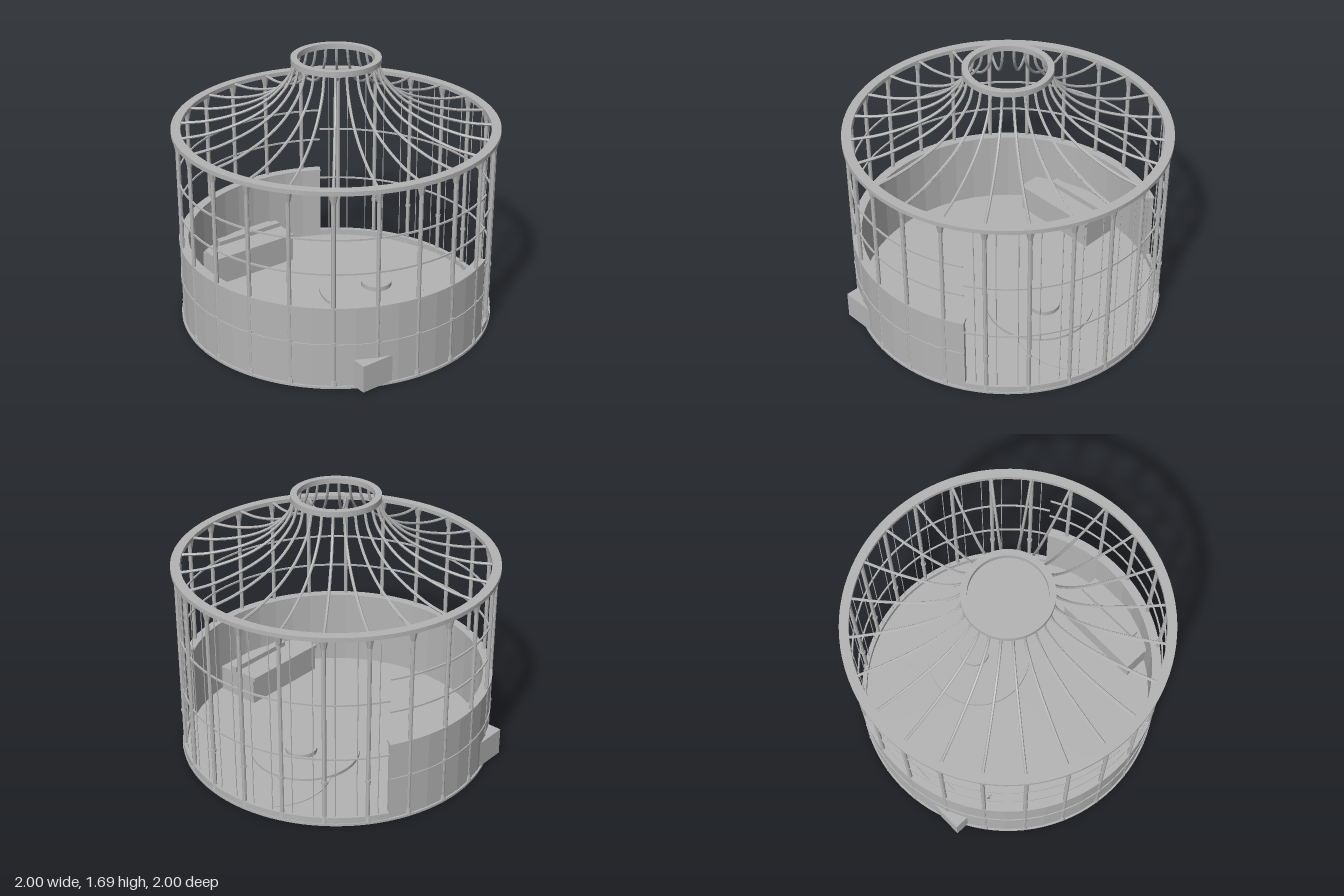
import * as THREE from 'three';

export function createModel() {
  const model = new THREE.Group();
  const grey = new THREE.MeshStandardMaterial({ color: 0xb4b4b4, flatShading: true, side: THREE.DoubleSide });
  const rad = THREE.MathUtils.degToRad;

  function add(name, geometry, x = 0, y = 0, z = 0, parent = model) {
    const mesh = new THREE.Mesh(geometry, grey);
    mesh.name = name;
    mesh.position.set(x, y, z);
    parent.add(mesh);
    return mesh;
  }

  // Ring or part ring of rectangular section; angles run from the front (+z) towards +x
  function band(name, r0, r1, y0, y1, from = 0, sweep = 360, step = 3.75) {
    const profile = [[r0, y0], [r1, y0], [r1, y1], [r0, y1], [r0, y0]].map(p => new THREE.Vector2(...p));
    add(name, new THREE.LatheGeometry(profile, Math.round(sweep / step), rad(from), rad(sweep)));
    if (sweep < 360) {
      for (const a of [from, from + sweep]) {
        const r = (r0 + r1) / 2;
        const cap = add(name + 'End', new THREE.PlaneGeometry(r1 - r0, y1 - y0),
          r * Math.sin(rad(a)), (y0 + y1) / 2, r * Math.cos(rad(a)));
        cap.rotation.y = rad(a - 90);
      }
    }
  }
  const front = (name, ...size) => band(name, ...size, -120, 240);
  const back = (name, ...size) => band(name, ...size, 120, 120);

  // Floor and the round platforms on it
  add('floor', new THREE.CylinderGeometry(0.99, 0.99, 0.015, 96), 0, 0.0075, 0);
  add('rearFloorDisc', new THREE.CylinderGeometry(0.375, 0.375, 0.005, 64), 0, 0.0175, -0.6);
  add('platform', new THREE.CylinderGeometry(0.345, 0.345, 0.02, 64), 0, 0.025, -0.29);
  add('pedestal', new THREE.CylinderGeometry(0.1, 0.1, 0.03, 40), 0, 0.05, -0.33);

  // Solid wall around the front, open kerb at the back
  band('wall', 0.95, 0.98, 0.015, 0.525, -120, 240, 7.5);
  front('wallTopTrim', 0.925, 0.984, 0.52, 0.533);
  front('wallRail', 0.97, 0.985, 0.285, 0.294);
  back('kerb', 0.955, 0.985, 0.015, 0.055);

  // Horizontal wires
  for (const y of [0.745, 0.96]) front('frontWire', 0.963, 0.973, y - 0.005, y + 0.005);
  for (const y of [0.455, 0.82]) back('backWire', 0.963, 0.973, y - 0.005, y + 0.005);

  // Top and crown rings
  band('eavesRing', 0.942, 1, 1.243, 1.27);
  band('crownRing', 0.232, 0.272, 1.655, 1.69);

  // Posts with base, collar and capital, and one curved roof rib above each
  const ribPath = new THREE.CatmullRomCurve3([
    [0.955, 1.255], [0.775, 1.272], [0.535, 1.343], [0.392, 1.43], [0.283, 1.56], [0.252, 1.665],
  ].map(([r, y]) => new THREE.Vector3(0, y, r)));
  const ribGeo = new THREE.TubeGeometry(ribPath, 24, 0.009, 6);
  const postGeo = new THREE.CylinderGeometry(0.013, 0.013, 1.23, 8);
  const baseGeo = new THREE.CylinderGeometry(0.017, 0.022, 0.035, 8);
  const collarGeo = new THREE.CylinderGeometry(0.018, 0.018, 0.016, 8);
  const capitalGeo = new THREE.CylinderGeometry(0.027, 0.015, 0.06, 8);
  for (let i = 0; i < 24; i++) {
    const bay = new THREE.Group();
    bay.name = 'postAndRib';
    bay.rotation.y = rad(7.5 + 15 * i);
    model.add(bay);
    add('post', postGeo, 0, 0.63, 0.972, bay);
    add('postBase', baseGeo, 0, 0.032, 0.972, bay);
    add('postCollar', collarGeo, 0, 0.3, 0.972, bay);
    add('capital', capitalGeo, 0, 1.213, 0.97, bay);
    add('roofRib', ribGeo, 0, 0, 0, bay);
  }

  // Thin upright wires, two in each rear bay
  const wireGeo = new THREE.CylinderGeometry(0.003, 0.003, 1.2, 6);
  for (let i = 0; i < 8; i++) {
    for (const side of [-3.75, 3.75]) {
      const a = rad(127.5 + 15 * i + side);
      add('uprightWire', wireGeo, 0.968 * Math.sin(a), 0.645, 0.968 * Math.cos(a));
    }
  }

  // Benches on both sides
  for (const s of [-1, 1]) {
    add('benchBody', new THREE.BoxGeometry(0.295, 0.175, 0.61), s * 0.7875, 0.1025, 0.195);
    add('benchSeat', new THREE.BoxGeometry(0.155, 0.025, 0.61), s * 0.7025, 0.2, 0.195);
    add('benchBackPlank', new THREE.BoxGeometry(0.05, 0.04, 0.48), s * 0.825, 0.21, 0.13);
  }
  return model;
}
